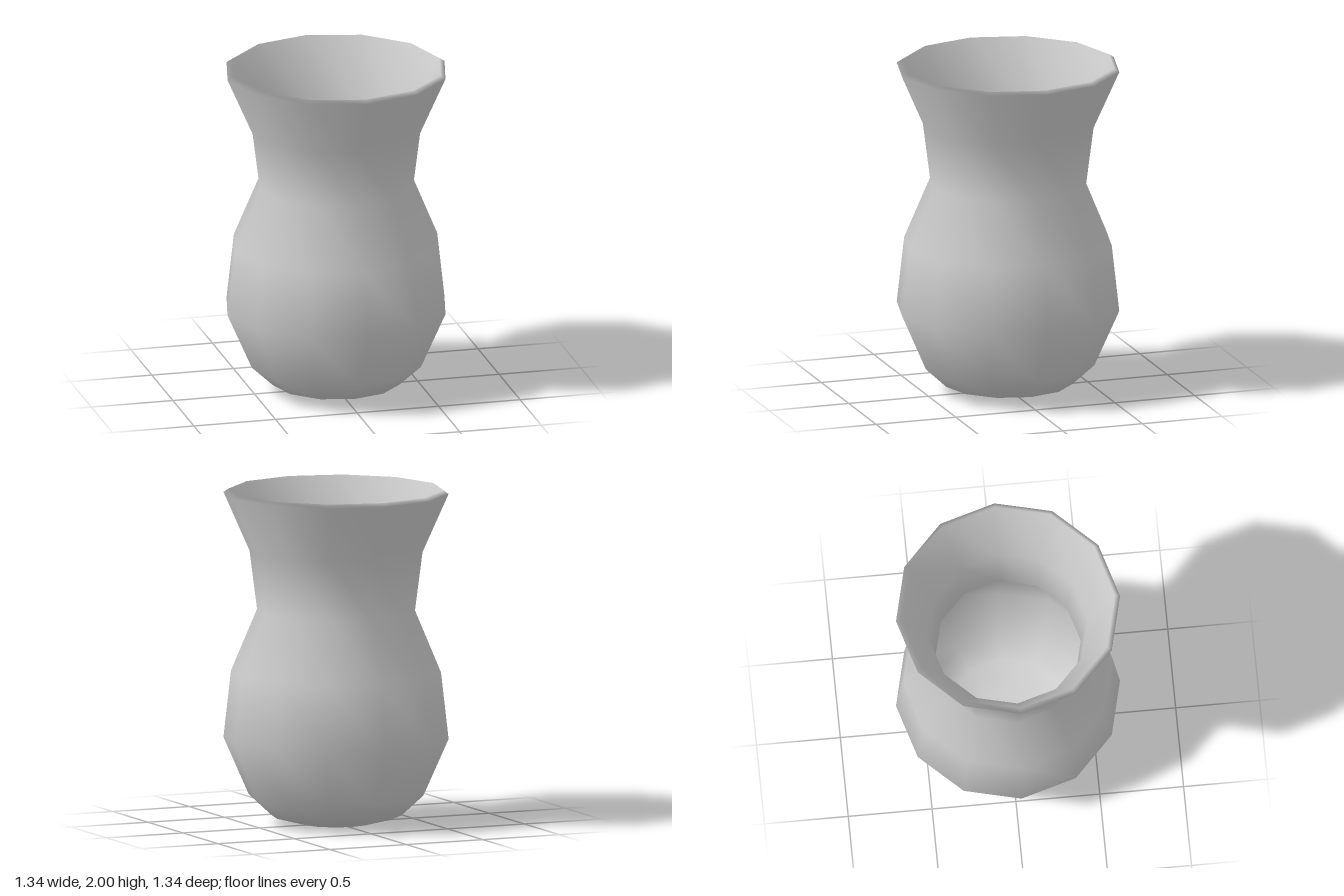
import * as THREE from 'three';

const SIDES = 12;
const TURN = 0.026; // slight twist of the twelve-sided body

// Outer wall from base centre up to the lip: [radius, height]
const OUTER = [
  [0, 0], [0.21, 0.003], [0.39, 0.05], [0.52, 0.17], [0.67, 0.51],
  [0.625, 0.91], [0.47, 1.28], [0.515, 1.63], [0.67, 1.98],
];

// Inner wall from the lip down to the floor
const INNER = [
  [0.64, 2], [0.475, 1.63], [0.435, 1.28], [0.59, 0.9],
  [0.635, 0.52], [0.495, 0.2], [0.375, 0.085], [0.2, 0.04], [0, 0.037],
];

export function createModel() {
  const group = new THREE.Group();
  group.name = 'vase';

  // One closed, smooth-shaded shell with a narrow bevelled lip
  const profile = [...OUTER, ...INNER].map(([r, y]) => new THREE.Vector2(r, y));
  const geometry = new THREE.LatheGeometry(profile, SIDES, TURN);
  const material = new THREE.MeshStandardMaterial({ color: 0xcccccc });
  const body = new THREE.Mesh(geometry, material);
  body.name = 'vaseBody';
  group.add(body);

  return group;
}
